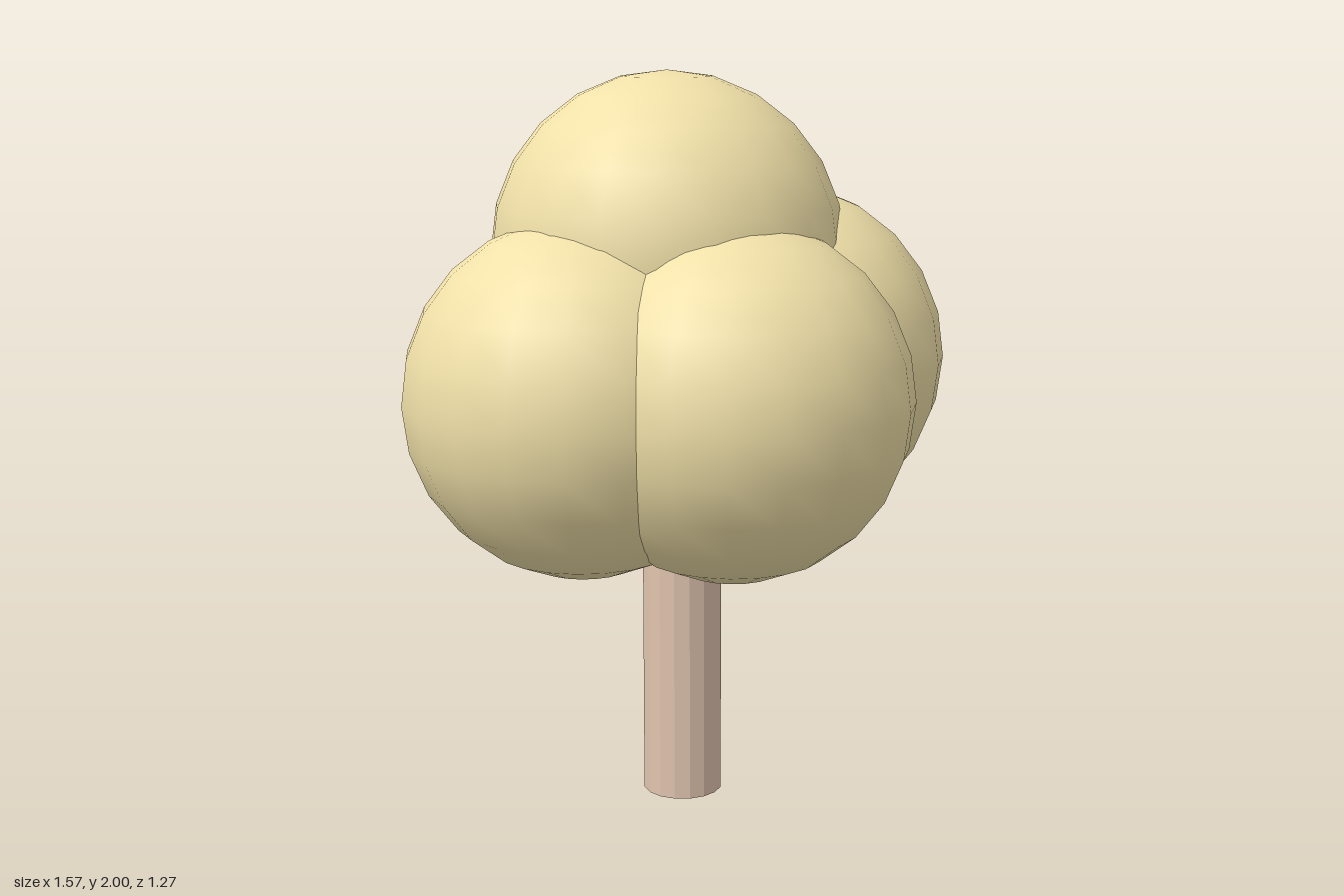
import * as THREE from 'three';

const LEAF = 0xf0e0a8;
const BARK = 0xe0c4ae;
const CROWN_RADIUS = 0.48;
const TRUNK_RADIUS = 0.11;
const TRUNK_HEIGHT = 1.15;

export function createModel() {
  const tree = new THREE.Group();
  tree.name = 'tree';

  // Straight trunk, its top buried in the crown
  const trunk = new THREE.Mesh(
    new THREE.CylinderGeometry(TRUNK_RADIUS, TRUNK_RADIUS, TRUNK_HEIGHT, 16),
    new THREE.MeshStandardMaterial({ color: BARK, flatShading: true })
  );
  trunk.name = 'trunk';
  trunk.position.set(0, TRUNK_HEIGHT / 2, -0.09);
  tree.add(trunk);

  // Four overlapping balls of foliage
  const crown = new THREE.Group();
  crown.name = 'crown';
  const ball = new THREE.SphereGeometry(CROWN_RADIUS, 20, 12);
  const leaves = new THREE.MeshStandardMaterial({ color: LEAF });
  const balls = {
    topFoliage: [0, 1.52, -0.16],
    frontFoliage: [0, 1.155, 0.155],
    leftFoliage: [0.305, 1.21, -0.1],
    rightFoliage: [-0.305, 1.155, -0.1],
  };
  for (const [name, position] of Object.entries(balls)) {
    const mesh = new THREE.Mesh(ball, leaves);
    mesh.name = name;
    mesh.position.set(...position);
    crown.add(mesh);
  }
  tree.add(crown);

  return tree;
}
